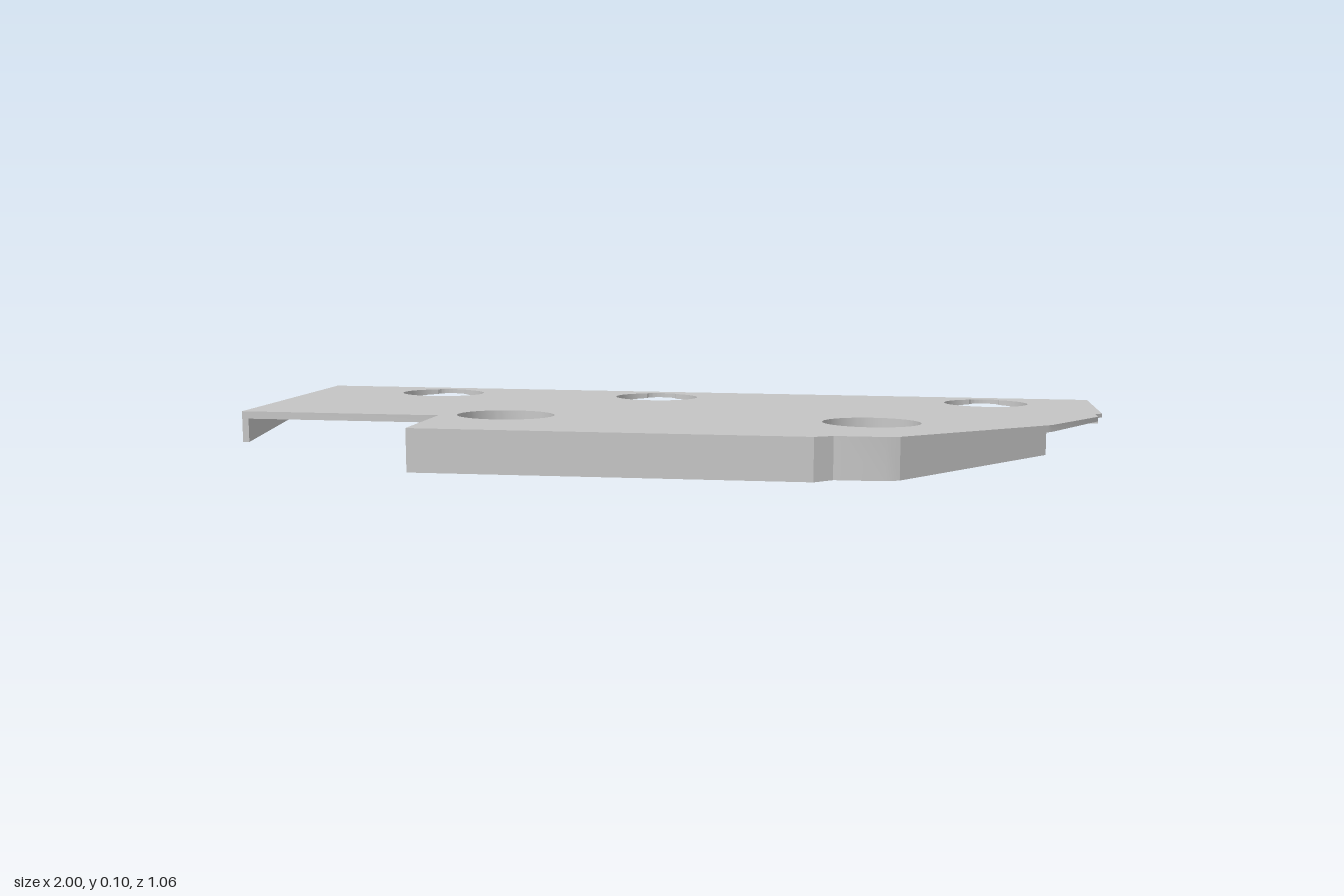
import * as THREE from 'three';
import { toCreasedNormals } from 'three/addons/utils/BufferGeometryUtils.js';

const topAt = (z) => 0.007 + (z + 0.53) * 0.0855; // sloping upper face
const ceilingAt = (z) => 0.025 + (z + 0.23) * 0.065; // roof of the recess below
const floorAt = () => 0;

// Round hole
const roundHole = (x, z, r) => new THREE.Path().absarc(x, -z, r, 0, Math.PI * 2, false);

// Round hole with a shallow relief on its back side
function relievedHole(x, z, r) {
  const a = Math.PI / 2 + 0.38;
  return new THREE.Path()
    .absarc(x, -z, r, a, Math.PI * 3 - a, false)
    .absellipse(x, -z + r * Math.sin(a), -r * Math.cos(a), 0.018, 0, Math.PI, false);
}

// Plan outline in [x, z], with holes, raised between a lower rule and the slope
function slab(name, material, outline, bottomAt, holes = []) {
  const shape = new THREE.Shape(outline.map(([x, z]) => new THREE.Vector2(x, -z)));
  shape.holes.push(...holes);
  const geometry = new THREE.ExtrudeGeometry(shape, { depth: 1, bevelEnabled: false, curveSegments: 40 });
  geometry.rotateX(-Math.PI / 2);
  const p = geometry.attributes.position;
  for (let i = 0; i < p.count; i++) {
    const z = p.getZ(i);
    p.setY(i, p.getY(i) > 0.5 ? topAt(z) : bottomAt(z));
  }
  const mesh = new THREE.Mesh(toCreasedNormals(geometry, 0.4), material);
  mesh.name = name;
  return mesh;
}

export function createModel() {
  const group = new THREE.Group();
  group.name = 'wedgePlate';
  const grey = new THREE.MeshStandardMaterial({ color: 0xc8c8c8 });
  grey.name = 'grey';

  // Thin solid strip along the back, with three holes
  group.add(slab('backStrip', grey,
    [[-1, -0.528], [1, -0.528], [1, -0.23], [-1, -0.23]],
    floorAt, [-0.668, -0.107, 0.733].map((x) => relievedHole(x, -0.37, 0.104))));

  // Thin sheet over the recess
  group.add(slab('recessRoof', grey,
    [[-0.985, -0.23], [1, -0.23], [1, -0.145], [0.982, -0.125], [0.982, -0.06], [0.858, 0.165],
      [0.845, 0.177], [0.845, 0.163], [0.56, -0.015], [-0.535, -0.015], [-0.535, 0.23],
      [-0.56, 0.235], [-0.985, 0.235]],
    ceilingAt));

  // Thick front block, with two holes
  group.add(slab('frontBlock', grey,
    [[-0.535, -0.015], [0.56, -0.015], [0.845, 0.163], [0.845, 0.177], [0.52, 0.488],
      [0.49, 0.498], [0.38, 0.5], [0.34, 0.527], [-0.535, 0.527]],
    floorAt, [-0.386, 0.455].map((x) => roundHole(x, 0.19, 0.112))));

  // Narrow lip closing the end of the recess
  group.add(slab('endLip', grey,
    [[-1, -0.23], [-0.985, -0.23], [-0.985, 0.235], [-1, 0.235]], floorAt));

  return group;
}
